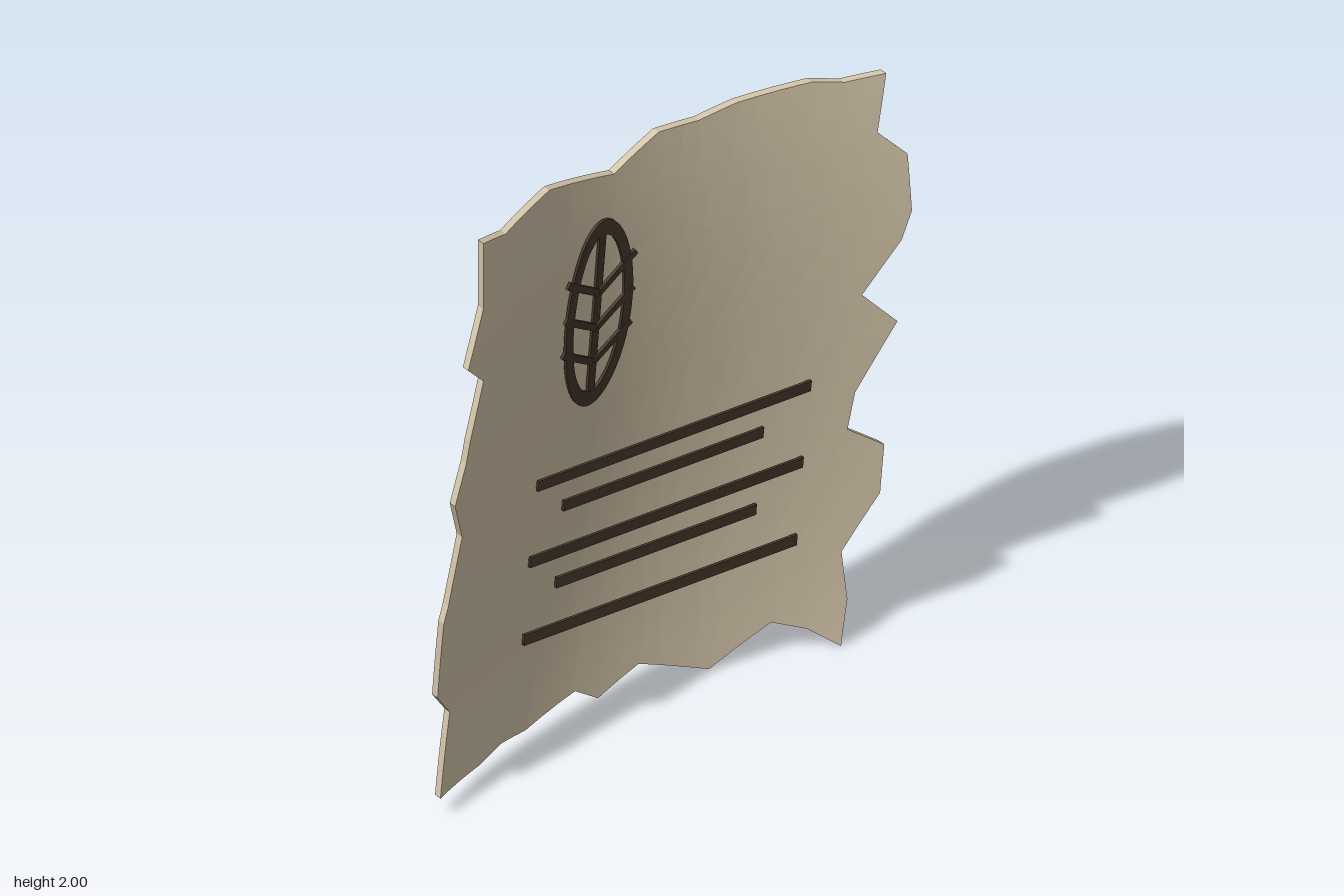
import * as THREE from 'three';

// torn outline, corner to corner; sides run upward, ends run left to right
const LEFT = [[-.737, .07], [-.7, .34], [-.778, .44], [-.778, .7], [-.76, .75], [-.72, .97], [-.786, 1.125],
  [-.743, 1.25], [-.733, 1.32], [-.685, 1.5], [-.78, 1.6], [-.71, 1.765], [-.717, 1.99]];
const RIGHT = [[.685, 0], [.7, .155], [.68, .32], [.77, .51], [.77, .68], [.67, .75], [.68, .88], [.77, 1.12],
  [.67, 1.23], [.76, 1.41], [.78, 1.51], [.76, 1.71], [.68, 1.795], [.7, 1.99]];
const BOTTOM = [[-.737, .07], [-.53, .058], [-.435, .074], [-.33, .063], [-.135, .1], [-.05, .04], [.09, .1],
  [.315, .008], [.495, .117], [.595, .074], [.685, 0]];
const TOP = [[-.717, 1.99], [-.6, 1.95], [-.395, 1.98], [-.135, 1.907], [.025, 1.98], [.16, 1.97], [.28, 1.99],
  [.5, 2], [.59, 1.98], [.7, 1.99]];
const THICK = 0.025;

// front surface of the curled sheet
const surfaceZ = (x, y) => -0.087 + 0.09 * Math.sin((y - 1) * Math.PI / 2) + 0.325 * x * x;

// move every vertex onto the curled sheet
function bend(geometry) {
  const p = geometry.attributes.position;
  for (let i = 0; i < p.count; i++) p.setZ(i, p.getZ(i) + surfaceZ(p.getX(i), p.getY(i)));
  geometry.computeVertexNormals();
  return geometry;
}

// fractions of a polyline's corners along one axis
const fractions = (line, k) => line.map(p => (p[k] - line[0][k]) / (line[line.length - 1][k] - line[0][k]));

function pointAt(line, k, t) {
  const f = fractions(line, k);
  let i = 0;
  while (i < f.length - 2 && t > f[i + 1]) i++;
  const s = (t - f[i]) / (f[i + 1] - f[i]);
  return [0, 1].map(c => line[i][c] + s * (line[i + 1][c] - line[i][c]));
}

// even steps plus every corner of both opposite edges
function steps(a, b, k, n) {
  const all = [...fractions(a, k), ...fractions(b, k)];
  for (let i = 0; i <= n; i++) all.push(i / n);
  all.sort((p, q) => p - q);
  return all.filter((t, i) => i === 0 || t - all[i - 1] > 1e-6);
}

function buildSheet(material) {
  const us = steps(BOTTOM, TOP, 0, 24), vs = steps(LEFT, RIGHT, 1, 30);
  const nu = us.length, nv = vs.length;
  const c00 = LEFT[0], c10 = RIGHT[0], c01 = TOP[0], c11 = TOP[TOP.length - 1];
  // blend the four torn edges into a grid
  const grid = [];
  for (const v of vs) {
    const l = pointAt(LEFT, 1, v), r = pointAt(RIGHT, 1, v);
    for (const u of us) {
      const b = pointAt(BOTTOM, 0, u), t = pointAt(TOP, 0, u);
      grid.push([0, 1].map(c => (1 - u) * l[c] + u * r[c] + (1 - v) * b[c] + v * t[c]
        - (1 - u) * (1 - v) * c00[c] - u * (1 - v) * c10[c] - (1 - u) * v * c01[c] - u * v * c11[c]));
    }
  }
  const face = (z, flip) => {
    const index = [];
    for (let j = 0; j < nv - 1; j++) for (let i = 0; i < nu - 1; i++) {
      const a = j * nu + i, b = a + 1, c = b + nu, d = a + nu;
      index.push(...(flip ? [a, c, b, a, d, c] : [a, b, c, a, c, d]));
    }
    const g = new THREE.BufferGeometry();
    g.setAttribute('position', new THREE.Float32BufferAttribute(grid.flatMap(p => [...p, z]), 3));
    g.setIndex(index);
    return bend(g);
  };
  // rim, counter-clockwise seen from the front
  const loop = [];
  for (let i = 0; i < nu - 1; i++) loop.push(i);
  for (let j = 0; j < nv - 1; j++) loop.push(j * nu + nu - 1);
  for (let i = nu - 1; i > 0; i--) loop.push((nv - 1) * nu + i);
  for (let j = nv - 1; j > 0; j--) loop.push(j * nu);
  const rim = [];
  loop.forEach((id, i) => {
    const p = grid[id], q = grid[loop[(i + 1) % loop.length]];
    rim.push(...p, 0, ...p, -THICK, ...q, -THICK, ...p, 0, ...q, -THICK, ...q, 0);
  });
  const rimGeometry = new THREE.BufferGeometry();
  rimGeometry.setAttribute('position', new THREE.Float32BufferAttribute(rim, 3));

  const group = new THREE.Group();
  group.name = 'sheet';
  const parts = { sheetFront: face(0, false), sheetBack: face(-THICK, true), tornEdge: bend(rimGeometry) };
  for (const [name, geometry] of Object.entries(parts)) {
    const mesh = new THREE.Mesh(geometry, material);
    mesh.name = name;
    group.add(mesh);
  }
  return group;
}

export function createModel() {
  const parchment = new THREE.MeshStandardMaterial({ color: 0xd4c5a9 });
  parchment.name = 'parchment';
  const ink = new THREE.MeshStandardMaterial({ color: 0x44362a });
  ink.name = 'dark ink';

  const model = new THREE.Group();
  model.name = 'parchment';
  model.add(buildSheet(parchment));

  const LOW = 0.008, DEEP = 0.0095;
  const addInk = (parent, name, geometry) => {
    const mesh = new THREE.Mesh(bend(geometry.index ? geometry.toNonIndexed() : geometry), ink);
    mesh.name = name;
    parent.add(mesh);
  };
  const bar = (w, h, x, y, angle = 0) =>
    new THREE.BoxGeometry(w, h, DEEP).rotateZ(angle).translate(x, y, LOW + DEEP / 2);

  // written lines, alternately long and short
  const lines = new THREE.Group();
  lines.name = 'writtenLines';
  for (let i = 0; i < 5; i++) addInk(lines, 'line', bar(i % 2 ? 0.67 : 0.915, 0.037, 0.09, 0.94 - i * 0.136));
  model.add(lines);

  // leaf emblem: oval rim, midrib and three pairs of veins
  const leaf = new THREE.Group();
  leaf.name = 'leaf';
  const cx = -0.184, cy = 1.458;
  const oval = new THREE.Shape().absellipse(cx, cy, 0.127, 0.322, 0, Math.PI * 2);
  oval.holes.push(new THREE.Path().absellipse(cx, cy, 0.096, 0.272, 0, Math.PI * 2));
  addInk(leaf, 'leafRim', new THREE.ExtrudeGeometry(oval, { depth: DEEP, bevelEnabled: false, curveSegments: 40 })
    .translate(0, 0, LOW));
  addInk(leaf, 'midrib', bar(0.026, 0.58, cx, cy));
  for (const y of [1.575, 1.452, 1.332]) for (const side of [-1, 1])
    addInk(leaf, 'vein', bar(0.155, 0.022, cx + side * 0.066, y, side * 0.59));
  model.add(leaf);
  return model;
}
